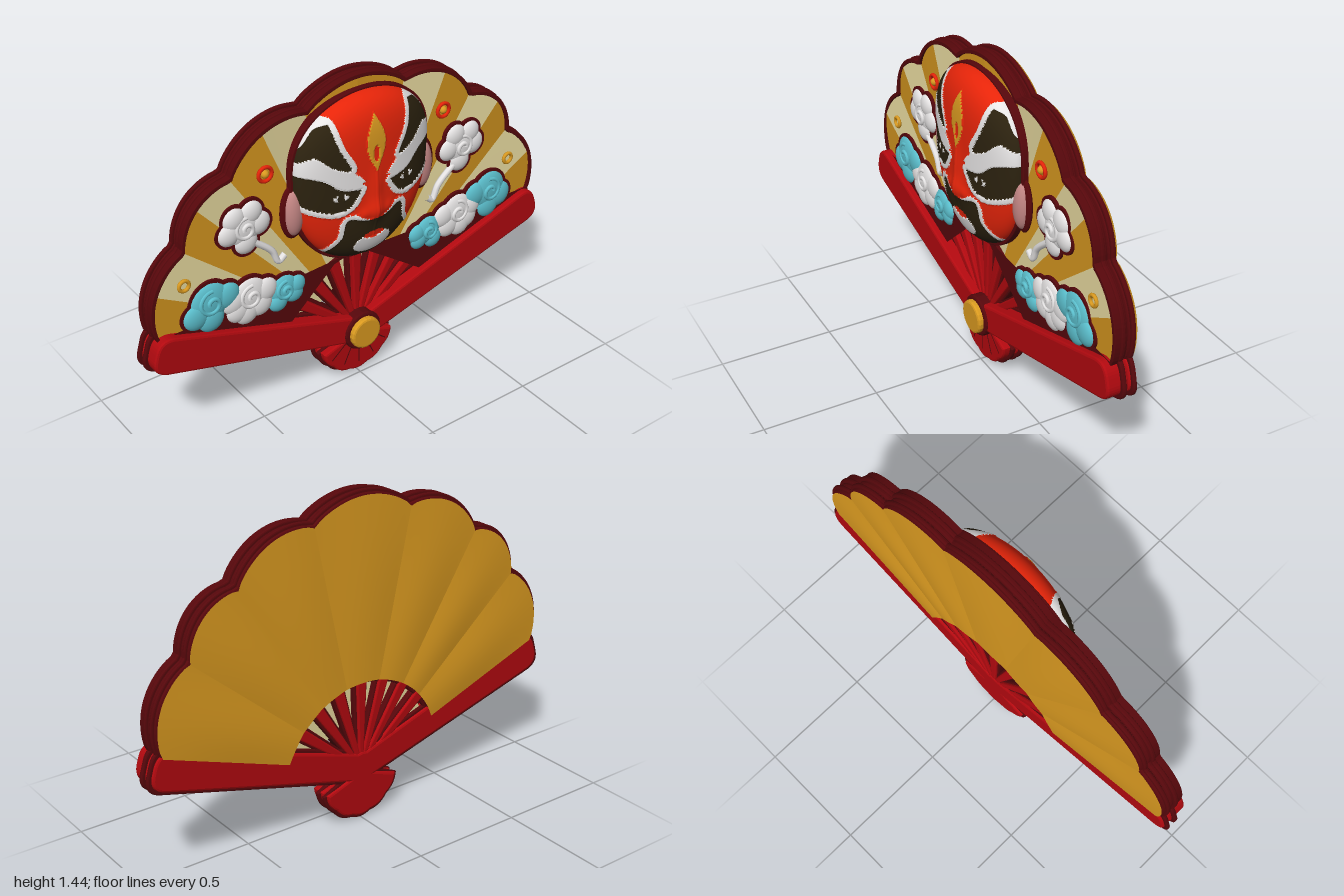
import * as THREE from 'three';

const paint = (name, color, side = THREE.FrontSide) => {
  const m = new THREE.MeshStandardMaterial({ color, side });
  m.name = name;
  return m;
};
const MAT = {
  lacquer: paint('lacquer red', 0xb2090f),
  maroon: paint('dark maroon', 0x56070b),
  gold: paint('gold', 0xda9a20, THREE.DoubleSide),
  cream: paint('cream', 0xe8da9f, THREE.DoubleSide),
  face: paint('face red', 0xee260a),
  white: paint('white', 0xe8e6e6),
  black: paint('black brown', 0x2c220f),
  teal: paint('teal', 0x5cc0ce),
  pink: paint('ear pink', 0xc48684),
};
const PIVOT = 0.235, INNER = 0.38, rad = Math.PI / 180;
const V = (x, y) => new THREE.Vector2(x, y);
function add(parent, name, geo, mat, x = 0, y = 0, z = 0) {
  const m = new THREE.Mesh(geo, mat);
  m.name = name;
  m.position.set(x, y, z);
  parent.add(m);
  return m;
}
function group(parent, name, x, y, z) {
  const g = new THREE.Group();
  g.name = name;
  g.position.set(x, y, z);
  parent.add(g);
  return g;
}
// Flat shape filling z0..z1 with a small rounded edge that stays inside the outline
const slab = (shape, z0, z1, b = 0.006) => new THREE.ExtrudeGeometry(shape, {
  depth: z1 - z0 - 2 * b, bevelThickness: b, bevelSize: b, bevelOffset: -b, bevelSegments: 2, curveSegments: 10,
}).translate(0, 0, z0 + b);
// A doubled part: thick front and back bodies, each with a thin dark flange
function doubled(parent, name, shapeAt, mat, front) {
  add(parent, name + 'Front', slab(shapeAt(0.014), -0.08, front, 0.01), mat);
  add(parent, name + 'Back', slab(shapeAt(0.014), -0.117, -0.08, 0.01), mat);
  add(parent, name + 'FrontFlange', slab(shapeAt(0), -0.063, -0.043), MAT.maroon);
  add(parent, name + 'BackFlange', slab(shapeAt(0), -0.106, -0.088), MAT.maroon);
}

// Scalloped fan edge: lobe limits in degrees; notches lie further out near the top
const LIMITS = [20, 40.6, 57.7, 77.8, 102.2, 122.3, 139.4, 160];
function edgeRadius(deg) {
  const i = Math.max(0, LIMITS.findLastIndex((a, k) => k < 7 && deg >= a));
  const t = THREE.MathUtils.clamp((deg - LIMITS[i]) / (LIMITS[i + 1] - LIMITS[i]), 0, 1);
  return 1.145 - 0.13 * (Math.abs(deg - 90) / 70) ** 1.7 + 0.055 * Math.sin(Math.PI * t) ** 0.75;
}
const polar = (r, deg) => V(r * Math.cos(deg * rad), PIVOT + r * Math.sin(deg * rad));
function fanOutline(d) {
  const pts = [];
  for (let i = 0; i <= 140; i++) pts.push(polar(edgeRadius(20 + i) - d, 20 + i));
  for (let i = 0; i <= 40; i++) pts.push(polar(INNER + d, 160 - i * 3.5));
  return pts;
}
// Sheet of paper between two angles; depth(t, s) gives z across and along it
function sheet(a0, a1, r0, outer, depth, facing) {
  const pos = [], idx = [], n = 16, m = 6;
  for (let i = 0; i <= n; i++) for (let j = 0; j <= m; j++) {
    const a = a0 + (a1 - a0) * i / n, k = i * (m + 1) + j, l = k + m + 1;
    const p = polar(THREE.MathUtils.lerp(r0, outer(a), j / m), a);
    pos.push(p.x, p.y, depth(i / n, j / m));
    if (i < n && j < m) idx.push(k, k + 1, l, k + 1, l + 1, l);
  }
  const g = new THREE.BufferGeometry();
  g.setAttribute('position', new THREE.Float32BufferAttribute(pos, 3));
  g.setIndex(facing > 0 ? idx : idx.reverse());
  g.computeVertexNormals();
  return g;
}
function buildFan(root) {
  const fan = group(root, 'fanLeaf', 0, 0, 0);
  doubled(fan, 'leafBody', d => new THREE.Shape(fanOutline(d)), MAT.maroon, -0.035);
  const rim = new THREE.Shape(fanOutline(0.006));
  rim.holes.push(new THREE.Path(fanOutline(0.025)));
  add(fan, 'raisedRim', slab(rim, -0.05, -0.016, 0.003), MAT.maroon);
  const edge = a => edgeRadius(a) - 0.02;
  const rise = (t, s) => -0.031 + 0.014 * t * (0.3 + 0.7 * s);
  const swell = (t, s) => -0.119 - 0.01 * Math.sin(Math.PI * t) * (0.3 + 0.7 * Math.sin(Math.PI * s));
  for (let i = 0; i < 7; i++) {
    const a = LIMITS[i], b = LIMITS[i + 1], mid = (a + b) / 2;
    add(fan, 'frontPleat', sheet(a, mid, 0.4, edge, rise, 1), i <= 3 ? MAT.gold : MAT.cream);
    add(fan, 'frontPleat', sheet(mid, b, 0.4, edge, (t, s) => rise(1 - t, s), 1), i >= 3 ? MAT.gold : MAT.cream);
    add(fan, 'backPleat', sheet(a, b, 0.392, edge, swell, -1), MAT.gold);
  }
  add(fan, 'innerPaper', sheet(24, 156, 0.22, () => INNER, () => -0.075, 1), MAT.cream);
}

// Tapered bar lying along +x, with rounded far corners
function bar(x0, x1, w0, w1, r) {
  const s = new THREE.Shape([V(x0, w0), V(x0, -w0), V(x1 - r, -w1)]);
  s.quadraticCurveTo(x1, -w1, x1, -w1 + r);
  s.lineTo(x1, w1 - r);
  s.quadraticCurveTo(x1, w1, x1 - r, w1);
  return s;
}
function spoke(root, name, deg) {
  const g = group(root, name, 0, PIVOT, 0);
  g.rotation.z = deg * rad;
  return g;
}
function buildSticks(root) {
  for (const a of [16.8, 163.2])
    doubled(spoke(root, 'guardStick', a), 'guard', d => bar(0, 1.032 - d, 0.075 - d, 0.095 - d, 0.07), MAT.lacquer, 0.015);
  for (let i = -3; i <= 3; i++) {
    const g = spoke(root, 'rib', 90 + i * 17);
    add(g, 'ribBar', slab(bar(0.02, 0.395, 0.01, 0.024, 0.004), -0.112, -0.022), MAT.lacquer);
    add(g, 'ribFlange', slab(bar(0.02, 0.395, 0.018, 0.035, 0.004), -0.1, -0.045), MAT.maroon);
  }
  // Scalloped handle end: a small fan opening downwards
  const tail = d => {
    const pts = [V(-0.05 + d, 0.22 - d)];
    for (let i = 0; i <= 50; i++) {
      const t = i / 50, a = Math.PI * (1.09 + 0.82 * t), k = 1 + 0.03 * Math.abs(Math.sin(5 * Math.PI * t));
      pts.push(V(Math.cos(a) * (0.2 * k - d), 0.21 + Math.sin(a) * (0.205 * k - d)));
    }
    return new THREE.Shape([...pts, V(0.05 - d, 0.22 - d)]);
  };
  doubled(root, 'handleEnd', tail, MAT.lacquer, -0.01);
  for (let i = -2; i <= 2; i++)
    add(spoke(root, 'handleCrease', 270 + i * 25), 'crease', new THREE.BoxGeometry(0.1, 0.005, 0.006), MAT.maroon, 0.135, 0, -0.012);
  const disc = (name, r, z0, z1, m) => add(root, name, slab(new THREE.Shape().absarc(0, 0, r, 0, Math.PI * 2), z0, z1, 0.01), m, 0, PIVOT);
  disc('pivotCollar', 0.092, -0.05, 0.026, MAT.maroon);
  disc('pivotCap', 0.074, 0, 0.05, MAT.gold);
  disc('pivotBack', 0.075, -0.117, -0.07, MAT.lacquer);
}

// Mask outline: half width and relative height above or below the widest level
const MID = 1.08, UP = 0.29, DOWN = 0.447;
const span = y => Math.min(1, y > MID ? (y - MID) / UP : (MID - y) / DOWN);
const halfWidth = y => 0.325 * Math.sqrt(1 - span(y) ** 2.4);
const level = s => MID + s * (s > 0 ? UP : DOWN);
const bump = (x, y, cy, w, h) => Math.exp(-((x / w) ** 2) - ((y - cy) / h) ** 2);
// Black areas on one half of the face, each edged in white, and the white sweep between brow and eye
const loop = (...pts) => new THREE.SplineCurve([...pts, pts[0]].map(p => V(...p))).getPoints(80);
const BLACK = [
  loop([0.19, 1.3], [0.25, 1.275], [0.33, 1.16], [0.26, 1.18], [0.19, 1.125], [0.115, 1.1], [0.165, 1.2]),
  loop([0.07, 1.0], [0.16, 1.02], [0.24, 1.08], [0.35, 1.1], [0.33, 0.99], [0.2, 0.925], [0.12, 0.935]),
  loop([-0.1, 0.85], [0.04, 0.85], [0.13, 0.87], [0.15, 0.79], [0.2, 0.7], [0.15, 0.6], [-0.1, 0.6]),
];
const SWEEP = loop([0.05, 1.03], [0.11, 1.09], [0.19, 1.13], [0.26, 1.18], [0.34, 1.16], [0.34, 1.09], [0.24, 1.07], [0.16, 1.01]);
function inside(x, y, poly) {
  const crosses = (a, b) => a.y > y !== b.y > y && x < (b.x - a.x) * (y - a.y) / (b.y - a.y) + a.x;
  return poly.reduce((hit, a, i) => crosses(a, poly[(i + 1) % poly.length]) ? !hit : hit, false);
}
function colourAt(px, y) {
  const x = Math.abs(px), flame = THREE.MathUtils.clamp((1.31 - y) / 0.25, 0, 1);
  const oval = (cx, cy, rx, ry) => ((x - cx) / rx) ** 2 + ((y - cy) / ry) ** 2 < 1;
  if (oval(0, 1.14, 0.013, 0.035)) return 'face';
  if (x < 0.044 * Math.sin(Math.PI * flame) ** 1.1) return 'gold';
  // Nose, lips and eyes
  if (oval(0, 0.895, 0.085, 0.045) || oval(0, 0.765, 0.05, 0.016)) return 'face';
  if (oval(0, 0.725, 0.09, 0.052)) return 'white';
  if (oval(0.16, 0.985, 0.016, 0.02)) return 'black';
  if (oval(0.16, 0.985, 0.034, 0.015)) return 'white';
  if (BLACK.some(p => inside(x, y, p))) return 'black';
  return inside(x, y, SWEEP) || BLACK.some(p => p.some(q => Math.hypot(q.x - x, q.y - y) < 0.023)) ? 'white' : 'face';
}
function buildMask(root) {
  const mask = group(root, 'mask', 0, 0, 0);
  // Domed face on a grid, each cell given the colour of its painted area
  const NU = 180, NV = 210, pos = [], faces = { face: [], white: [], black: [], gold: [] }, keys = Object.keys(faces);
  for (let j = 0; j <= NV; j++) for (let i = 0; i <= NU; i++) {
    const u = Math.sin((i / NU - 0.5) * Math.PI), y = level(Math.sin((j / NV - 0.5) * Math.PI));
    const x = u * halfWidth(y), raised = ['white', 'gold'].includes(colourAt(x, y)) ? 0.004 : 0;
    const dome = 0.105 * Math.sqrt(Math.max(0, (1 - span(y) ** 4) * (1 - u * u)));
    const nose = 0.018 * bump(x, y, 0.88, 0.045, 0.05) + 0.01 * bump(x, y, 0.98, 0.03, 0.1) + 0.008 * bump(Math.abs(x) - 0.06, y, 0.88, 0.025, 0.025);
    pos.push(x, y, dome + nose + raised);
  }
  for (let j = 0; j < NV; j++) for (let i = 0; i < NU; i++) {
    const a = j * (NU + 1) + i, d = a + NU + 1;
    const cx = (pos[a * 3] + pos[d * 3 + 3]) / 2, cy = (pos[a * 3 + 1] + pos[d * 3 + 4]) / 2;
    faces[colourAt(cx, cy)].push(a, a + 1, d + 1, a, d + 1, d);
  }
  const g = new THREE.BufferGeometry();
  g.setAttribute('position', new THREE.Float32BufferAttribute(pos, 3));
  g.setIndex(keys.flatMap(k => faces[k]));
  keys.reduce((start, k, i) => (g.addGroup(start, faces[k].length, i), start + faces[k].length), 0);
  g.computeVertexNormals();
  add(mask, 'paintedFace', g, keys.map(k => MAT[k]));
  const backing = Array.from({ length: 96 }, (_, i) => {
    const a = i / 48 * Math.PI, y = level(Math.sin(a));
    return V(Math.sign(Math.cos(a)) * halfWidth(y) * 1.04, MID + (y - MID) * 1.03);
  });
  add(mask, 'faceBacking', slab(new THREE.Shape(backing), -0.04, 0.004, 0.004), MAT.maroon);
  for (const s of [-1, 1]) {
    add(mask, 'ear', new THREE.SphereGeometry(1, 24, 16), MAT.pink, s * 0.32, 0.935, -0.005).scale.set(0.045, 0.105, 0.035);
    add(mask, 'earOutline', new THREE.SphereGeometry(1, 24, 16), MAT.maroon, s * 0.32, 0.935, -0.012).scale.set(0.06, 0.122, 0.022);
  }
}

// Puffy cloud: a main lobe with a raised curl, smaller puffs around it, dark outlines
function cloud(root, name, mat, x, y, R, puffs) {
  const s = Math.sign(x), g = group(root, name, x, y, -0.022);
  const lobe = (lx, ly, r) => {
    add(g, 'lobe', new THREE.SphereGeometry(1, 24, 12), mat, lx, ly).scale.set(r, r, 0.027);
    add(g, 'outline', new THREE.CylinderGeometry(r + 0.01, r + 0.01, 0.014, 28).rotateX(Math.PI / 2), MAT.maroon, lx, ly);
  };
  lobe(0, 0, R);
  for (const a of puffs) lobe(s * 0.85 * R * Math.cos(a * rad), 0.85 * R * Math.sin(a * rad), R * 0.68);
  const curl = Array.from({ length: 17 }, (_, i) => {
    const r = R * (0.15 + 0.03 * i), a = i * 0.5;
    return new THREE.Vector3(s * r * Math.cos(a), r * Math.sin(a), 0.025 - 0.01 * (i / 16) ** 2);
  });
  add(g, 'curl', new THREE.TubeGeometry(new THREE.CatmullRomCurve3(curl), 50, 0.01, 8), mat);
}
function buildOrnaments(root) {
  for (const s of [-1, 1]) {
    cloud(root, 'outerTealCloud', MAT.teal, s * 0.71, 0.665, 0.09, [-35, 180, 270]);
    cloud(root, 'innerTealCloud', MAT.teal, s * 0.37, 0.585, 0.068, [180, 215, 300]);
    cloud(root, 'lowWhiteCloud', MAT.white, s * 0.53, 0.62, 0.085, [-40, 0, 180, 230, 285]);
    cloud(root, 'highWhiteCloud', MAT.white, s * 0.54, 0.94, 0.078, [-5, 50, 120, 180, 265]);
    const tail = [V(0.51, 0.87), V(0.42, 0.79), V(0.39, 0.73), V(0.36, 0.75)].map(p => new THREE.Vector3(s * p.x, p.y, -0.016));
    add(root, 'cloudTail', new THREE.TubeGeometry(new THREE.CatmullRomCurve3(tail), 24, 0.014, 8), MAT.white);
    // Small rings and flowers on the paper
    add(root, 'goldRing', new THREE.TorusGeometry(0.022, 0.008, 8, 24), MAT.gold, s * 0.815, 0.785, -0.018);
    add(root, 'flowerRing', new THREE.TorusGeometry(0.03, 0.008, 8, 24), MAT.face, s * 0.435, 1.14, -0.016);
    add(root, 'flowerHeart', new THREE.SphereGeometry(0.017, 12, 8), MAT.gold, s * 0.435, 1.14, -0.018);
  }
}

export function createModel() {
  const root = new THREE.Group();
  root.name = 'foldingFanWithMask';
  for (const build of [buildFan, buildSticks, buildMask, buildOrnaments]) build(root);
  return root;
}
